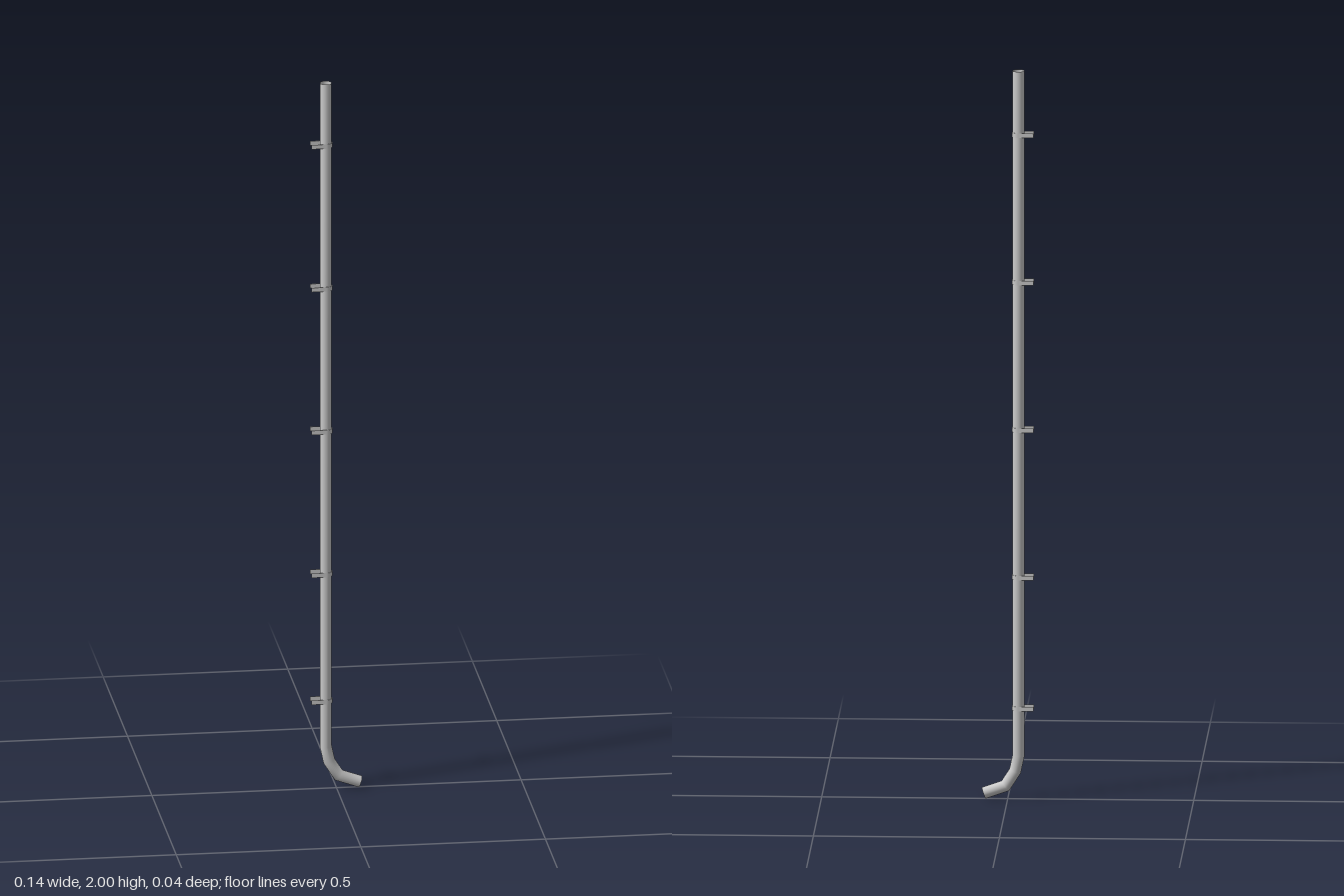
import * as THREE from 'three';

const PIPE_X = -0.029;
const RADIUS = 0.016;

// Open round pipe swept along a path in the xy plane, mitred at every bend
function sweptPipe(path, radius, sides) {
  const last = path.length - 1;
  const geometry = new THREE.CylinderGeometry(radius, radius, 1, sides, last, true);
  const pos = geometry.attributes.position;
  for (let i = 0; i < pos.count; i++) {
    const row = Math.floor(i / (sides + 1));
    const p = path[row];
    const before = p.clone().sub(path[Math.max(row - 1, 0)]).normalize();
    const after = path[Math.min(row + 1, last)].clone().sub(p).normalize();
    const tangent = before.clone().add(after).normalize();
    const miter = 1 / tangent.dot(row < last ? after : before);
    const offset = pos.getX(i) * miter;
    pos.setXYZ(i, p.x - tangent.y * offset, p.y + tangent.x * offset, pos.getZ(i));
  }
  geometry.computeVertexNormals();
  // Match normals across the seam
  const n = geometry.attributes.normal;
  for (let row = 0; row <= last; row++) {
    const a = row * (sides + 1), b = a + sides;
    const v = new THREE.Vector3().fromBufferAttribute(n, a)
      .add(new THREE.Vector3().fromBufferAttribute(n, b)).normalize();
    n.setXYZ(a, v.x, v.y, v.z);
    n.setXYZ(b, v.x, v.y, v.z);
  }
  return geometry;
}

// Thin U-shaped strap: half ring round the pipe with two arms to the wall
function strapGeometry(height) {
  const outer = 0.0178, inner = 0.0163, armEnd = -0.041;
  const shape = new THREE.Shape();
  shape.moveTo(armEnd, -outer);
  shape.lineTo(0, -outer);
  shape.absarc(0, 0, outer, -Math.PI / 2, Math.PI / 2, false);
  shape.lineTo(armEnd, outer);
  shape.lineTo(armEnd, inner);
  shape.lineTo(0, inner);
  shape.absarc(0, 0, inner, Math.PI / 2, -Math.PI / 2, true);
  shape.lineTo(armEnd, -inner);
  shape.closePath();
  const geometry = new THREE.ExtrudeGeometry(shape, { depth: height, bevelEnabled: false, curveSegments: 10 });
  return geometry.translate(0, 0, -height / 2).rotateX(-Math.PI / 2);
}

export function createModel() {
  const group = new THREE.Group();
  group.name = 'downpipe';
  const metal = new THREE.MeshStandardMaterial({ color: 0xcccccc, side: THREE.DoubleSide });

  // Straight pipe with an angled spout at the foot
  const path = [[PIPE_X, 2], [PIPE_X, 0.12], [-0.02, 0.077], [0.006, 0.036], [0.064, 0.0155]]
    .map(([x, y]) => new THREE.Vector2(x, y));
  const pipe = new THREE.Mesh(sweptPipe(path, RADIUS, 24), metal);
  pipe.name = 'pipe';
  group.add(pipe);

  // Wall brackets
  const strap = strapGeometry(0.012);
  [0.25, 0.61, 1.015, 1.42, 1.825].forEach((y, i) => {
    const bracket = new THREE.Mesh(strap, metal);
    bracket.name = `wallBracket${i + 1}`;
    bracket.position.set(PIPE_X, y, 0);
    group.add(bracket);
  });

  return group;
}
